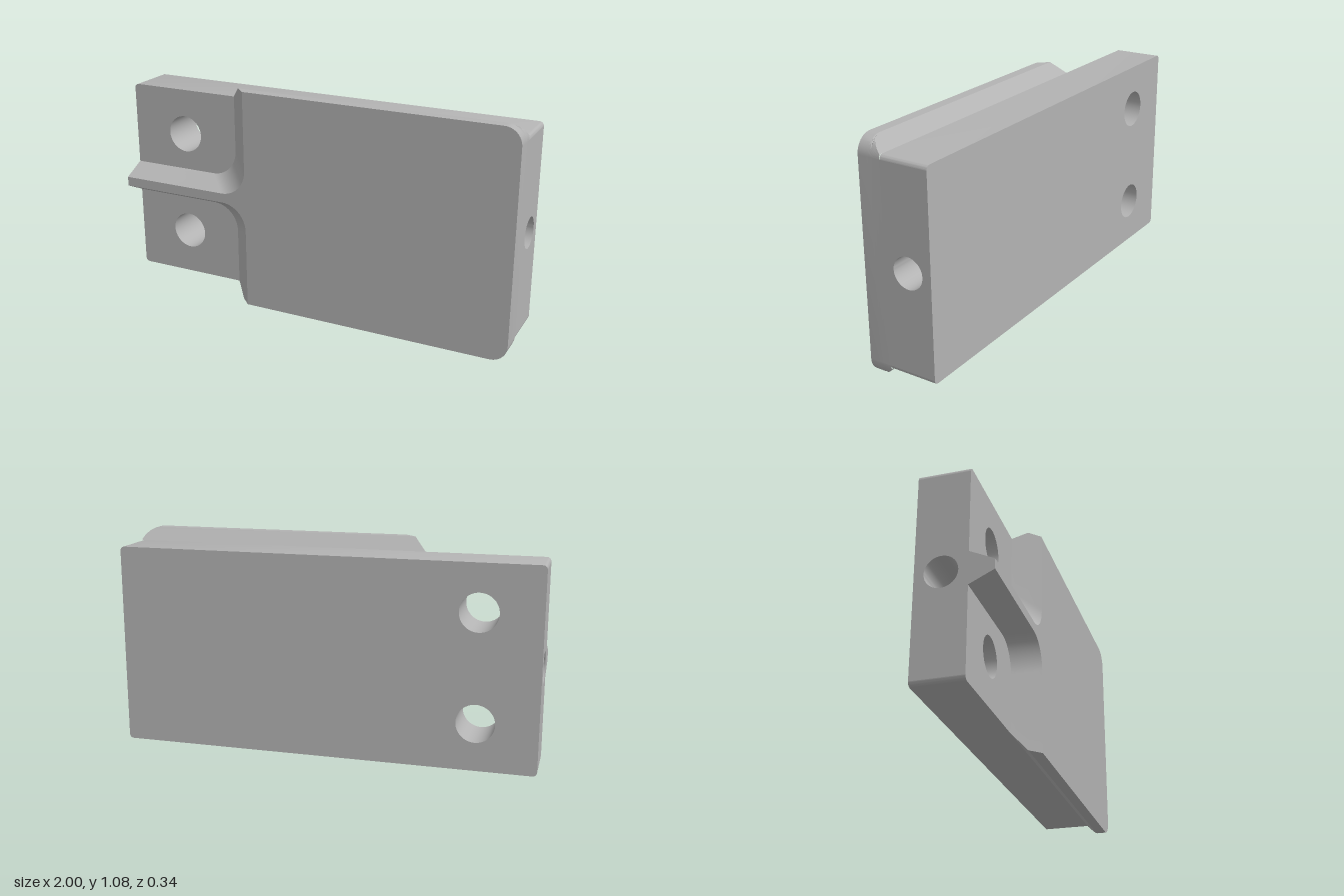
import * as THREE from 'three';
import { toCreasedNormals } from 'three/addons/utils/BufferGeometryUtils.js';

const MID = 0.54;                        // height of the centre line
const BACK = -0.17, FACE = 0.06, TOP = 0.17; // z of back, plate face, raised face
const HALF = 0.48;                       // half height of the base plate

// Skin between closed counter-clockwise outlines stacked along z
function loft(layers, skip = () => false) {
  const pos = [];
  for (let k = 0; k < layers.length - 1; k++) {
    const lo = layers[k], hi = layers[k + 1], n = lo.pts.length;
    for (let i = 0; i < n; i++) {
      const j = (i + 1) % n;
      if (skip(lo.pts[i], lo.pts[j])) continue;
      const at = (l, m) => [l.pts[m].x, l.pts[m].y, l.z];
      pos.push(...at(lo, i), ...at(lo, j), ...at(hi, j), ...at(lo, i), ...at(hi, j), ...at(hi, i));
    }
  }
  const g = new THREE.BufferGeometry();
  g.setAttribute('position', new THREE.Float32BufferAttribute(pos, 3));
  return toCreasedNormals(g, 0.5);
}

function arc(cx, cy, r, a0, a1, n = 12) {
  return Array.from({ length: n + 1 }, (_, i) => {
    const a = a0 + (a1 - a0) * i / n;
    return new THREE.Vector2(cx + r * Math.cos(a), cy + r * Math.sin(a));
  });
}

// Inward-facing round bore wall along z
function bore(x, y, r, z0, z1) {
  const pts = arc(x, y, r, 2 * Math.PI, 0, 48).slice(0, -1);
  return loft([{ pts, z: z0 }, { pts, z: z1 }]);
}

function roundedPlate() {
  const r = 0.02, X = 1 - r, Y = HALF - r, q = Math.PI / 2;
  return [
    ...arc(X, MID + Y, r, 0, q, 6), ...arc(-X, MID + Y, r, q, 2 * q, 6),
    ...arc(-X, MID - Y, r, 2 * q, 3 * q, 6), ...arc(X, MID - Y, r, 3 * q, 4 * q, 6),
  ];
}

// Outline of the raised pad and its narrow rib at depth z
function raisedOutline(z) {
  const t = (z - FACE) / (TOP - FACE);
  const h = Math.min(0.54, HALF + z - FACE);
  const left = -0.43 + 0.11 * t;
  const rib = 0.076 - 0.053 * t;
  const r = 0.13;
  const upper = [
    ...arc(0.92, 0.46, 0.08, 0, Math.asin(Math.min(1, (h - 0.46) / 0.08))),
    new THREE.Vector2(left, h),
    ...arc(left - r, rib + r, r, 0, -Math.PI / 2, 16),
    new THREE.Vector2(-1, rib),
  ];
  const lower = upper.map(p => new THREE.Vector2(p.x, -p.y)).reverse();
  return [...upper, ...lower].map(p => new THREE.Vector2(p.x, p.y + MID));
}

export function createModel() {
  const group = new THREE.Group();
  const grey = new THREE.MeshStandardMaterial({ color: 0xb3b3b3 });
  grey.name = 'plain grey';
  const add = (name, geometry) => {
    const mesh = new THREE.Mesh(geometry, grey);
    mesh.name = name;
    group.add(mesh);
    return mesh;
  };

  // Base plate: rim, front and back faces with two mounting holes
  const outline = roundedPlate();
  const flatEnd = (a, b) => Math.abs(a.x) > 0.9999 && Math.abs(b.x) > 0.9999;
  add('plateRim', loft([{ pts: outline, z: BACK }, { pts: outline, z: FACE }], flatEnd));

  const holes = [0.285, 0.797].map(y => ({ x: -0.715, y, r: 0.09 }));
  const face = new THREE.Shape(outline);
  for (const { x, y, r } of holes) {
    face.holes.push(new THREE.Path(arc(x, y, r, 2 * Math.PI, 0, 48).slice(0, -1)));
    add('mountingHole', bore(x, y, r, BACK, FACE));
  }
  add('plateFront', new THREE.ShapeGeometry(face).translate(0, 0, FACE));
  // Turn the back face about x, with the hole layout mirrored around the centre line
  const backShape = new THREE.Shape(outline.map(p => new THREE.Vector2(-p.x, p.y)).reverse());
  for (const { x, y, r } of holes) {
    backShape.holes.push(new THREE.Path(arc(-x, y, r, 2 * Math.PI, 0, 48).slice(0, -1)));
  }
  add('plateBack', new THREE.ShapeGeometry(backShape).rotateY(Math.PI).translate(0, 0, BACK));

  // End faces pierced by the lengthwise bore
  for (const s of [1, -1]) {
    const y0 = MID - 0.46, y1 = MID + 0.46;
    const u0 = Math.min(-s * FACE, -s * BACK), u1 = Math.max(-s * FACE, -s * BACK);
    const end = new THREE.Shape([[u0, y0], [u1, y0], [u1, y1], [u0, y1]].map(p => new THREE.Vector2(...p)));
    end.holes.push(new THREE.Path(arc(s * 0.055, MID, 0.073, 2 * Math.PI, 0, 48).slice(0, -1)));
    add('plateEnd', new THREE.ShapeGeometry(end).rotateY(s * Math.PI / 2).translate(s, 0, 0));
  }
  add('lengthwiseBore', bore(0.055, MID, 0.073, -1, 1).rotateY(Math.PI / 2));

  // Raised pad with sloped edges, blended into the rib between the holes
  const depths = [FACE, 0.075, 0.09, 0.105, 0.12, TOP];
  add('raisedPadSides', loft(depths.map(z => ({ pts: raisedOutline(z), z }))));
  add('raisedPadFace', new THREE.ShapeGeometry(new THREE.Shape(raisedOutline(TOP))).translate(0, 0, TOP));

  return group;
}
